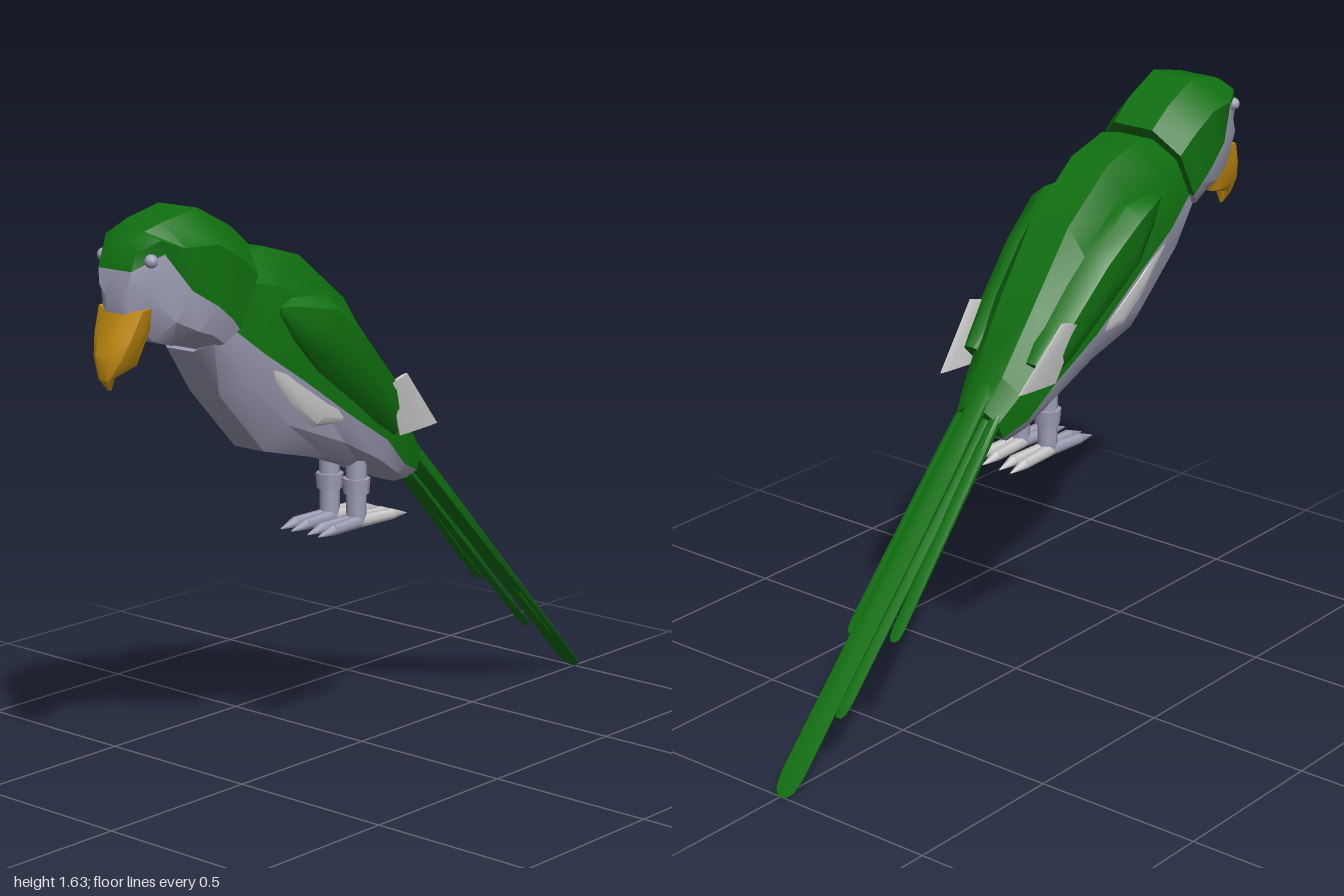
import * as THREE from 'three';
import { toCreasedNormals } from 'three/addons/utils/BufferGeometryUtils.js';

const mat = (color) => new THREE.MeshStandardMaterial({ color, side: THREE.DoubleSide });
const green = mat(0x107010), grey = mat(0xa0a0b8), gold = mat(0xc48c10), pale = mat(0xcccccc);

// One cross-section: top, side and bottom points in the xy plane, half width, z offset
const sec = (tx, ty, sx, sy, bx, by, w, z = 0) =>
  ({ t: [tx, ty], s: [sx, sy], b: [bx, by], w, z });
// Section whose side point lies midway between top and bottom
const mid = (tx, ty, bx, by, w, z = 0) =>
  sec(tx, ty, (tx + bx) / 2, (ty + by) / 2, bx, by, w, z);

// Bevelled ring: [step from side to edge, width factor]
const HALF = [[0, 1], [0.65, 1], [1, 0.48]];
const LOWER = [[0, 1], [0.6, 0.85], [1, 0.4]];

function ring(c, part) {
  const at = (edge, [k, f], sign) => new THREE.Vector3(
    c.s[0] + (edge[0] - c.s[0]) * k, c.s[1] + (edge[1] - c.s[1]) * k, c.z + sign * f * c.w);
  const up = [...HALF.map((p) => at(c.t, p, 1)), ...[...HALF].reverse().map((p) => at(c.t, p, -1))];
  const down = [...LOWER.map((p) => at(c.b, p, -1)), ...[...LOWER].reverse().map((p) => at(c.b, p, 1))];
  if (part === 'upper') return up;
  if (part === 'lower') return down;
  return [...up, ...down.slice(1)];
}

// Skin a row of sections, closing both ends with fans
function loft(name, material, sections, part = 'all', crease = 0.65) {
  const rings = sections.map((c) => ring(c, part));
  const pos = [];
  const tri = (...pts) => pts.forEach((p) => pos.push(p.x, p.y, p.z));
  for (let i = 0; i < rings.length - 1; i++) {
    for (let j = 0; j < rings[i].length - 1; j++) {
      const a = rings[i][j], b = rings[i + 1][j], c = rings[i + 1][j + 1], d = rings[i][j + 1];
      tri(a, b, d);
      tri(b, c, d);
    }
  }
  for (const i of [0, rings.length - 1]) {
    const c = sections[i], r = rings[i];
    const hub = new THREE.Vector3(c.s[0], c.s[1], c.z);
    for (let j = 0; j < r.length - 1; j++) {
      if (i === 0) tri(hub, r[j], r[j + 1]);
      else tri(hub, r[j + 1], r[j]);
    }
  }
  const g = new THREE.BufferGeometry();
  g.setAttribute('position', new THREE.Float32BufferAttribute(pos, 3));
  const mesh = new THREE.Mesh(toCreasedNormals(g, crease), material);
  mesh.name = name;
  return mesh;
}

function rod(name, material, from, to, r0, r1, sides = 8) {
  const a = new THREE.Vector3(...from), b = new THREE.Vector3(...to);
  const dir = b.clone().sub(a);
  const mesh = new THREE.Mesh(new THREE.CylinderGeometry(r1, r0, dir.length(), sides), material);
  mesh.position.copy(a).add(b).multiplyScalar(0.5);
  mesh.quaternion.setFromUnitVectors(new THREE.Vector3(0, 1, 0), dir.normalize());
  mesh.name = name;
  return mesh;
}

// Flat tail feather running down and back
function feather(name, start, end, z0, z1, w) {
  const at = (k) => [start[0] + (end[0] - start[0]) * k, start[1] + (end[1] - start[1]) * k];
  const rows = [[0, 0.7, 0.012], [0.25, 0.95, 0.009], [0.95, 1, 0.002], [0.985, 0.8, 0.0015], [1, 0.35, 0.001]];
  return loft(name, green, rows.map(([k, f, h]) => {
    const [x, y] = at(k);
    return mid(x + h, y + h, x - h, y - h, w * f, z0 + (z1 - z0) * k);
  }));
}

export function createModel() {
  const model = new THREE.Group();

  // Body: green back over a grey belly
  const body = [
    sec(-0.56, 1.48, -0.66, 1.32, -0.72, 1.25, 0.12),
    sec(-0.47, 1.5, -0.54, 1.23, -0.63, 1.12, 0.135),
    sec(-0.33, 1.46, -0.38, 1.13, -0.46, 0.94, 0.135),
    sec(-0.15, 1.32, -0.2, 1.01, -0.2, 0.875, 0.135),
    sec(0, 1.12, -0.03, 0.91, -0.05, 0.815, 0.122),
    sec(0.12, 0.95, 0.07, 0.82, 0.05, 0.775, 0.1),
    sec(0.18, 0.86, 0.15, 0.785, 0.1, 0.755, 0.075),
  ];
  model.add(loft('back', green, body, 'upper'), loft('belly', grey, body, 'lower'));

  // Head: green crown and grey face
  const head = [
    sec(-0.925, 1.56, -0.95, 1.49, -0.96, 1.42, 0.06),
    sec(-0.89, 1.585, -0.87, 1.53, -0.95, 1.36, 0.1),
    sec(-0.84, 1.605, -0.8, 1.43, -0.87, 1.3, 0.13),
    sec(-0.72, 1.63, -0.72, 1.38, -0.81, 1.28, 0.147),
    sec(-0.6, 1.57, -0.67, 1.34, -0.76, 1.28, 0.147),
    sec(-0.53, 1.515, -0.64, 1.31, -0.7, 1.25, 0.142),
  ];
  model.add(loft('crown', green, head, 'upper'), loft('face', grey, head, 'lower'));

  // Hooked beak, from tip to base
  model.add(loft('beak', gold, [
    mid(-0.98, 1.18, -0.972, 1.18, 0.004),
    mid(-1, 1.21, -0.965, 1.22, 0.022),
    mid(-1, 1.27, -0.9, 1.235, 0.05),
    mid(-0.98, 1.32, -0.87, 1.32, 0.068),
    mid(-0.95, 1.385, -0.845, 1.4, 0.08),
  ]));

  for (const s of [1, -1]) {
    const side = s > 0 ? 'left' : 'right';

    const eye = new THREE.Mesh(new THREE.SphereGeometry(0.018, 12, 8), grey);
    eye.position.set(-0.905, 1.515, s * 0.086);
    eye.name = side + 'Eye';
    model.add(eye);

    // Folded wing with a pale tip
    model.add(loft(side + 'Wing', green, [
      mid(-0.48, 1.35, -0.48, 1.32, 0.03, s * 0.11),
      mid(-0.44, 1.365, -0.43, 1.25, 0.05, s * 0.11),
      mid(-0.31, 1.36, -0.33, 1.15, 0.09, s * 0.105),
      mid(-0.18, 1.26, -0.2, 1.055, 0.078, s * 0.105),
      mid(-0.03, 1.1, -0.07, 0.96, 0.06, s * 0.105),
      mid(0.07, 0.99, 0, 0.92, 0.03, s * 0.11),
    ]));
    model.add(loft(side + 'WingTip', pale, [
      mid(0, 1.1, -0.07, 1.08, 0.006, s * 0.164),
      mid(0.16, 0.93, 0, 0.92, 0.004, s * 0.14),
    ]));

    // Pale flank feathers under the wing
    model.add(loft(side + 'Flank', pale, [
      mid(-0.52, 1.22, -0.54, 1.19, 0.02, s * 0.11),
      mid(-0.4, 1.14, -0.44, 1.07, 0.045, s * 0.09),
      mid(-0.27, 1.06, -0.34, 0.99, 0.045, s * 0.09),
      mid(-0.2, 1.02, -0.24, 0.99, 0.02, s * 0.11),
    ]));

    // Leg and foot with two toes forward and two back
    const z = s * 0.05;
    model.add(rod(side + 'Leg', grey, [-0.08, 0.67, z], [-0.08, 0.86, z], 0.028, 0.03));
    model.add(rod(side + 'Ankle', grey, [-0.08, 0.755, z], [-0.08, 0.8, z], 0.036, 0.04));
    for (const dz of [-0.02, 0.02]) {
      for (const [x, m] of [[-0.2, grey], [0.05, pale]]) {
        const tip = x + Math.sign(x) * 0.06;
        model.add(rod(side + 'Toe', m, [-0.08, 0.677, z + dz * 0.5], [x, 0.676, z + dz], 0.019, 0.016, 6));
        model.add(rod(side + 'Claw', m, [x, 0.676, z + dz], [tip, 0.667, z + dz], 0.016, 0.002, 6));
      }
    }
  }

  // Tail feathers in graded lengths
  model.add(
    feather('tailCentre', [0.1, 0.94], [1, 0], 0, -0.005, 0.039),
    feather('tailMiddleLeft', [0.1, 0.89], [0.83, 0.135], 0.025, 0.03, 0.022),
    feather('tailMiddleRight', [0.1, 0.89], [0.8, 0.165], -0.025, -0.033, 0.022),
    feather('tailOuterLeft', [0.1, 0.89], [0.635, 0.325], 0.06, 0.067, 0.02),
    feather('tailOuterRight', [0.1, 0.9], [0.625, 0.34], -0.055, -0.078, 0.02),
  );
  return model;
}
